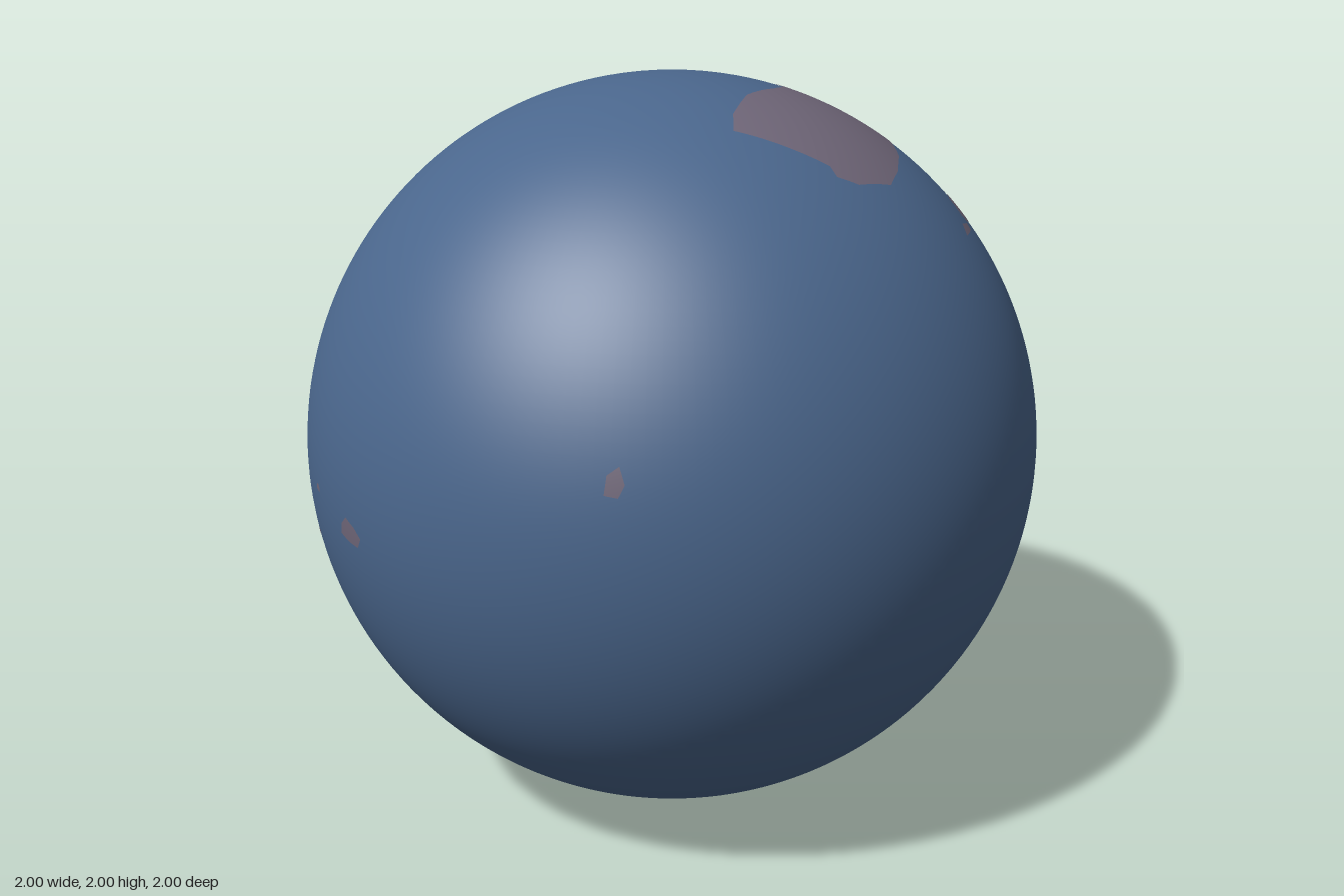
import * as THREE from 'three';

const ocean = new THREE.MeshStandardMaterial({ color: 0x4a668c });
ocean.name = 'slate blue';
const land = new THREE.MeshStandardMaterial({ color: 0x6f6678 });
land.name = 'dusty mauve';

const R = 1.0015; // patches lie just proud of the ball

// Lifts from a flat outline (a, b) onto the unit sphere, one per side
const depth = (a, b) => Math.sqrt(Math.max(0, 1 - a * a - b * b));
const lifts = {
  top: (x, z) => new THREE.Vector3(x, depth(x, z), z),
  front: (x, y) => new THREE.Vector3(x, y - 1, depth(x, y - 1)),
  right: (z, y) => new THREE.Vector3(depth(z, y - 1), y - 1, z),
  left: (z, y) => new THREE.Vector3(-depth(z, y - 1), y - 1, z),
};

// Thin patch: triangulate the outline, subdivide, and wrap it on the sphere
function makePatch(name, side, outline) {
  const pts = outline.map(([a, b]) => new THREE.Vector2(a, b));
  if (THREE.ShapeUtils.isClockWise(pts)) pts.reverse();
  const positions = [];
  const n1 = new THREE.Vector3(), n2 = new THREE.Vector3();

  const emit = (a, b, c) => {
    const [p, q, r] = [a, b, c].map((v) => lifts[side](v.x, v.y).setLength(R));
    n1.subVectors(q, p).cross(n2.subVectors(r, p));
    const tri = n1.dot(p) > 0 ? [p, q, r] : [p, r, q];
    tri.forEach((v) => positions.push(v.x, v.y, v.z));
  };
  const split = (a, b, c, level) => {
    if (level === 0) return emit(a, b, c);
    const ab = a.clone().lerp(b, 0.5), bc = b.clone().lerp(c, 0.5), ca = c.clone().lerp(a, 0.5);
    split(a, ab, ca, level - 1);
    split(ab, b, bc, level - 1);
    split(ca, bc, c, level - 1);
    split(ab, bc, ca, level - 1);
  };
  const level = pts.length > 8 ? 4 : 2;
  for (const [i, j, k] of THREE.ShapeUtils.triangulateShape(pts, [])) split(pts[i], pts[j], pts[k], level);

  const geo = new THREE.BufferGeometry();
  geo.setAttribute('position', new THREE.Float32BufferAttribute(positions, 3));
  geo.setAttribute('normal', new THREE.Float32BufferAttribute(positions.map((v) => v / R), 3));
  const mesh = new THREE.Mesh(geo, land);
  mesh.name = name;
  return mesh;
}

// Small irregular island outline around a point
const islet = (a, b, ra, rb) => [1, 0.8, 1.1, 0.85, 1, 0.75, 1.05].map((k, i) => {
  const t = (i / 7) * Math.PI * 2;
  return [a + Math.cos(t) * ra * k, b + Math.sin(t) * rb * k];
});

export function createModel() {
  const model = new THREE.Group();
  model.name = 'globe';

  const ball = new THREE.Mesh(new THREE.SphereGeometry(1, 160, 96), ocean);
  ball.name = 'ball';
  model.add(ball);

  const patches = new THREE.Group();
  patches.name = 'landPatches';
  patches.add(
    // Large patch near the crown
    makePatch('crownContinent', 'top', [
      [-0.08, 0.43], [-0.04, 0.365], [0.06, 0.27], [0.19, 0.195], [0.26, 0.135], [0.27, 0.06],
      [0.325, 0], [0.29, -0.03], [0.3, -0.09], [0.325, -0.115], [0.31, -0.19], [0.35, -0.215],
      [0.405, -0.22], [0.41, -0.145], [0.45, -0.13], [0.49, -0.12], [0.475, -0.03], [0.485, 0],
      [0.555, 0.01], [0.575, 0.09], [0.545, 0.195], [0.5, 0.295], [0.43, 0.42], [0.35, 0.52],
      [0.28, 0.585], [0.165, 0.61], [0.11, 0.595], [0.11, 0.565], [0.03, 0.51],
    ]),
    // Long strip below it, with a detached tail
    makePatch('upperStrip', 'right', [
      [0.49, 1.64], [0.445, 1.68], [0.365, 1.685], [0.315, 1.72], [0.29, 1.705], [0.245, 1.715],
      [0.19, 1.7], [0.14, 1.69], [0.13, 1.65], [0.19, 1.66], [0.245, 1.645], [0.31, 1.645],
      [0.38, 1.635], [0.445, 1.615], [0.485, 1.62],
    ]),
    makePatch('stripTail', 'right', [[0.59, 1.612], [0.55, 1.635], [0.51, 1.625], [0.525, 1.61]]),
    // Equatorial island on the +x side
    makePatch('sideIsland', 'right', [
      [0.235, 1.085], [0.205, 1.07], [0.18, 1.085], [0.1, 1.08], [0.095, 1.035], [0.12, 1],
      [0.055, 0.975], [0.06, 0.94], [0.1, 0.91], [0.12, 0.87], [0.165, 0.87], [0.19, 0.93],
      [0.23, 0.945], [0.275, 0.99], [0.245, 1.025],
    ]),
    makePatch('lowerIsland', 'right', [
      [0.14, 0.56], [0.1, 0.57], [0.07, 0.52], [0.085, 0.485], [0.12, 0.49], [0.135, 0.52],
    ]),
    makePatch('rearIsland', 'right', [
      [-0.415, 0.66], [-0.46, 0.665], [-0.51, 0.65], [-0.48, 0.62], [-0.44, 0.625],
    ]),
    makePatch('frontIsland', 'front', [
      [-0.62, 1.175], [-0.61, 1.22], [-0.585, 1.24], [-0.58, 1.2], [-0.595, 1.17],
    ]),
  );

  // Scattered islets: side, centre, radii
  [
    ['right', 0.385, 1.035, 0.018, 0.014],
    ['right', 0.47, 0.87, 0.018, 0.012],
    ['right', 0.1, 0.465, 0.015, 0.008],
    ['right', -0.61, 0.6, 0.018, 0.018],
    ['left', 0.12, 0.94, 0.055, 0.035],
    ['left', -0.09, 0.995, 0.015, 0.012],
    ['left', -0.177, 0.842, 0.015, 0.012],
  ].forEach(([side, a, b, ra, rb], i) => patches.add(makePatch(`islet${i + 1}`, side, islet(a, b, ra, rb))));

  model.add(patches);
  model.position.y = 1;
  const root = new THREE.Group();
  root.name = 'model';
  root.add(model);
  return root;
}
